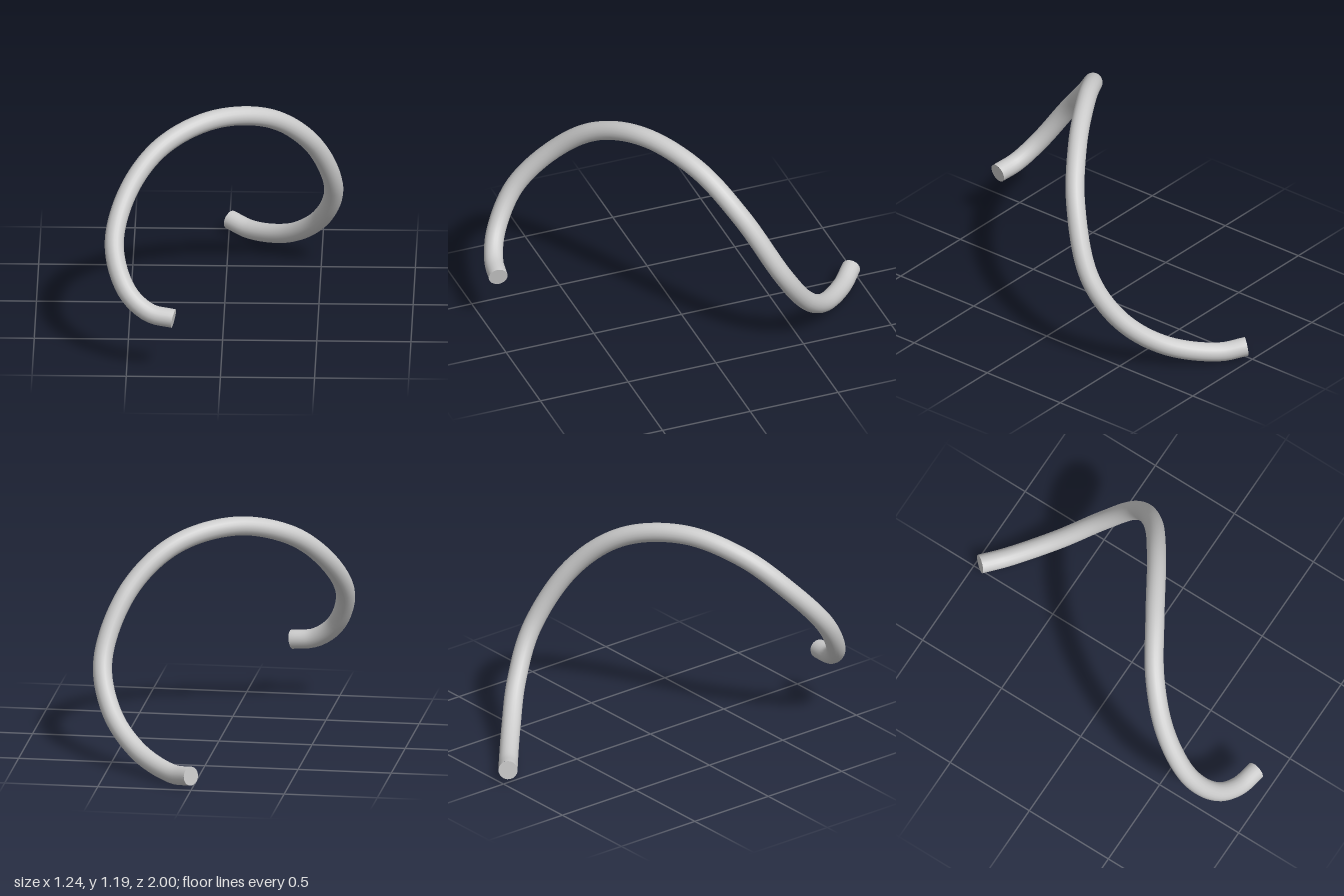
import * as THREE from 'three';

const RADIUS = 0.051;
const SIDES = 20;

// Centreline of the coiled rod, from the front end to the back end
const PATH = [
  [-0.25, 0.313, 0.947], [-0.38, 0.335, 0.922], [-0.5, 0.433, 0.862], [-0.57, 0.64, 0.73],
  [-0.5, 0.87, 0.535], [-0.33, 1.05, 0.36], [-0.06, 1.135, 0.185], [0.24, 1.068, 0.0],
  [0.46, 0.855, -0.165], [0.57, 0.52, -0.35], [0.5, 0.28, -0.51], [0.335, 0.118, -0.68],
  [0.12, 0.051, -0.87], [0.006, 0.068, -0.964],
];

export function createModel() {
  const group = new THREE.Group();
  group.name = 'coiledRod';
  const material = new THREE.MeshStandardMaterial({ color: 0xcccccc });
  const curve = new THREE.CatmullRomCurve3(PATH.map((p) => new THREE.Vector3(...p)), false, 'centripetal');

  // Round rod swept along the path
  const rod = new THREE.Mesh(new THREE.TubeGeometry(curve, 120, RADIUS, SIDES, false), material);
  rod.name = 'rod';
  group.add(rod);

  // Flat discs closing both ends, facing outwards
  const addCap = (name, t, sign) => {
    const cap = new THREE.Mesh(new THREE.CircleGeometry(RADIUS, SIDES), material);
    cap.name = name;
    const outward = curve.getTangentAt(t).multiplyScalar(sign);
    cap.quaternion.setFromUnitVectors(new THREE.Vector3(0, 0, 1), outward);
    cap.position.copy(curve.getPointAt(t));
    group.add(cap);
  };
  addCap('frontEndCap', 0, -1);
  addCap('backEndCap', 1, 1);

  return group;
}
